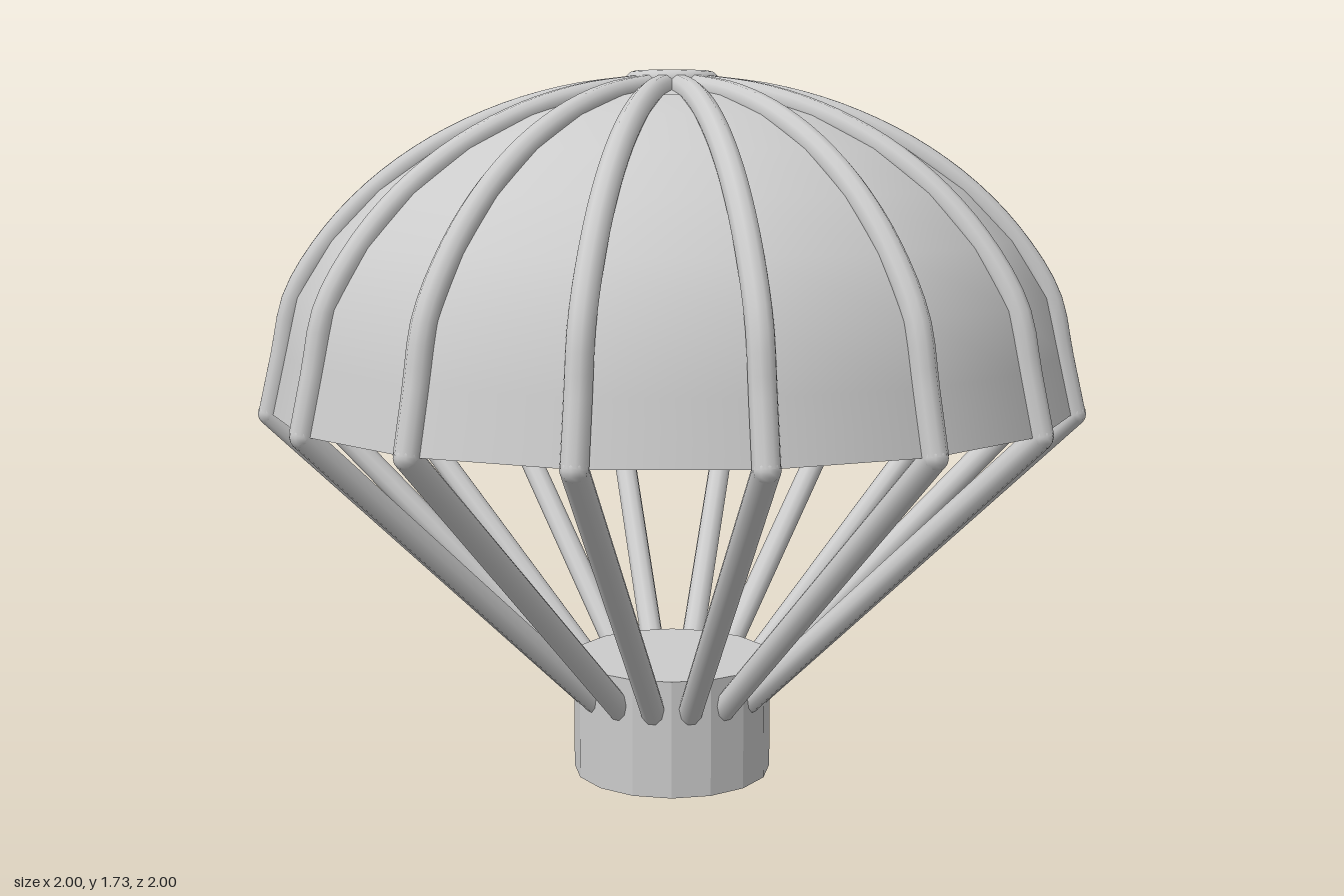
import * as THREE from 'three';

const SIDES = 16;
const RIM_R = 0.968, RIM_Y = 0.93, RISE = 0.768, CORD = 0.03;

// Point of the canopy's quarter-ellipse profile, angle in degrees above the rim
function profilePoint(deg) {
  const a = THREE.MathUtils.degToRad(deg);
  return new THREE.Vector2(RIM_R * Math.cos(a), RIM_Y + RISE * Math.sin(a));
}

export function createModel() {
  const model = new THREE.Group();
  model.name = 'parachute';
  const grey = new THREE.MeshStandardMaterial({ color: 0xcccccc });
  const cloth = new THREE.MeshStandardMaterial({ color: 0xcccccc, side: THREE.DoubleSide });

  function add(parent, name, geometry, material = grey) {
    const mesh = new THREE.Mesh(geometry, material);
    mesh.name = name;
    parent.add(mesh);
    return mesh;
  }

  // Profile: a straight band above the rim, then a dome up to the vent
  const profile = [profilePoint(0)];
  profile.push(profilePoint(0).lerp(profilePoint(21), 0.5));
  for (const deg of [21, 32, 43, 54, 65, 75, 84.8]) profile.push(profilePoint(deg));

  // Canopy with an open vent at the crown
  add(model, 'canopy', new THREE.LatheGeometry(profile, SIDES), cloth);
  const ring = add(model, 'ventRing', new THREE.TorusGeometry(0.089, 0.024, 12, 32));
  ring.rotation.x = Math.PI / 2;
  ring.position.y = 1.71;

  // Cargo drum, with a flat facet under every line
  const drum = add(model, 'cargoDrum',
    new THREE.CylinderGeometry(0.247, 0.247, 0.29, SIDES).toNonIndexed());
  drum.geometry.computeVertexNormals();
  drum.rotation.y = Math.PI / SIDES;
  drum.position.y = 0.145;

  // Shared shapes of one rib and its suspension line, lying in the x-y plane
  const ribPath = new THREE.CatmullRomCurve3(profile.map(p => new THREE.Vector3(p.x, p.y, 0)));
  const ribGeometry = new THREE.TubeGeometry(ribPath, 28, CORD, 10);
  const rim = new THREE.Vector3(RIM_R, RIM_Y, 0);
  const anchor = new THREE.Vector3(0.215, 0.195, 0);
  const lineGeometry = new THREE.TubeGeometry(new THREE.LineCurve3(anchor, rim), 1, CORD, 10);
  const jointGeometry = new THREE.SphereGeometry(CORD, 10, 8);

  // Repeat around the canopy
  for (let i = 0; i < SIDES; i++) {
    const cord = new THREE.Group();
    cord.name = 'cord' + (i + 1);
    cord.rotation.y = (i / SIDES) * Math.PI * 2;
    add(cord, 'rib', ribGeometry);
    add(cord, 'suspensionLine', lineGeometry);
    add(cord, 'rimJoint', jointGeometry).position.copy(rim);
    add(cord, 'lineEnd', jointGeometry).position.copy(anchor);
    model.add(cord);
  }
  return model;
}
